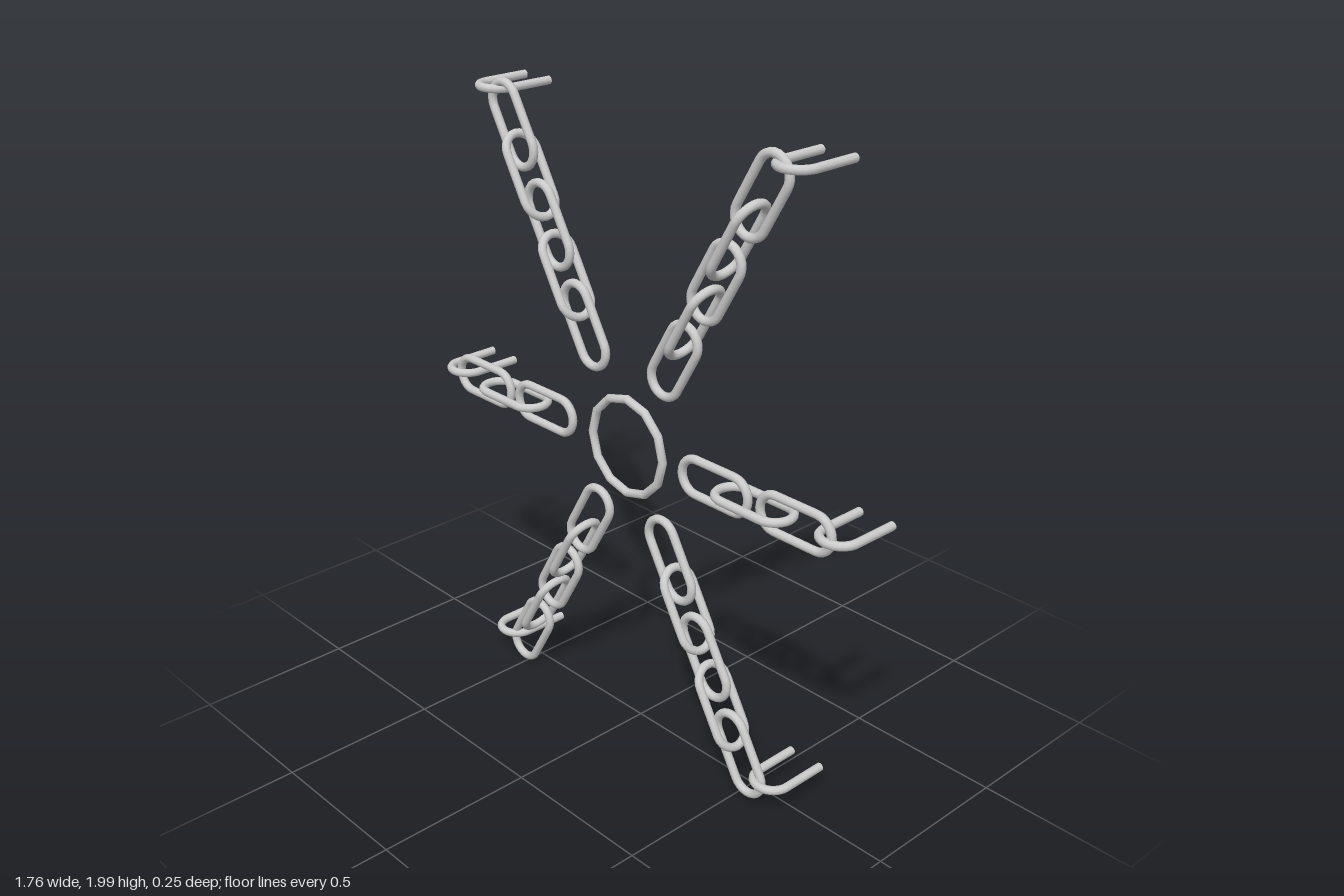
import * as THREE from 'three';

const WIRE = 0.0135;      // wire radius
const BEND = 0.0555;      // bend radius of a link
const HALF = 0.075;       // half the straight part of a link
const PLANE = 0.058;      // z of the chains

// Closed stadium lying along x
class LinkCurve extends THREE.Curve {
  getPoint(t, target = new THREE.Vector3()) {
    const arc = Math.PI * BEND, straight = 2 * HALF;
    let d = (t % 1) * 2 * (arc + straight);
    const side = d < arc + straight ? 1 : -1;
    if (side < 0) d -= arc + straight;
    if (d < straight) return target.set(side * (d - HALF), -side * BEND, 0);
    const a = (d - straight) / BEND - Math.PI / 2;
    return target.set(side * (HALF + BEND * Math.cos(a)), side * BEND * Math.sin(a), 0);
  }
}

// U-shaped staple opening toward -z
const HOOK_R = 0.057, HOOK_Z = 0.025, HOOK_END = -0.124;
class HookCurve extends THREE.Curve {
  getPoint(t, target = new THREE.Vector3()) {
    const leg = HOOK_Z - HOOK_END, arc = Math.PI * HOOK_R;
    const d = t * (2 * leg + arc);
    if (d < leg) return target.set(-HOOK_R, 0, HOOK_END + d);
    if (d > leg + arc) return target.set(HOOK_R, 0, HOOK_Z - (d - leg - arc));
    const a = Math.PI - (d - leg) / HOOK_R;
    return target.set(HOOK_R * Math.cos(a), 0, HOOK_Z + HOOK_R * Math.sin(a));
  }
}

export function createModel() {
  const model = new THREE.Group();
  model.name = 'chainStar';
  const metal = new THREE.MeshStandardMaterial({ color: 0xcccccc });
  const linkGeo = new THREE.TubeGeometry(new LinkCurve(), 44, WIRE, 10, true);
  const hookGeo = new THREE.TubeGeometry(new HookCurve(), 36, WIRE, 10, false);
  const capGeo = new THREE.CircleGeometry(WIRE, 10);

  const add = (parent, geo, name, x, y, z) => {
    const mesh = new THREE.Mesh(geo, metal);
    mesh.name = name;
    mesh.position.set(x, y, z);
    parent.add(mesh);
    return mesh;
  };

  // Central ring
  add(model, new THREE.TorusGeometry(0.153, WIRE, 10, 12), 'centreRing', 0.007, 0.989, 0.063);

  // Chains: first link centre, last link centre, link count, hook position, angle
  const chains = [
    ['leftChain', [0.367, 0.988], [0.674, 0.988], 3, [0.805, 0.988], 0],
    ['rightChain', [-0.375, 0.988], [-0.676, 0.988], 3, [-0.812, 0.988], 0],
    ['upperLeftChain', [0.199, 1.319], [0.513, 1.866], 5, [0.605, 1.962], 60],
    ['upperRightChain', [-0.183, 1.32], [-0.492, 1.866], 5, [-0.597, 1.962], -60],
    ['lowerLeftChain', [0.19, 0.676], [0.494, 0.14], 5, [0.6, 0.088], -60],
    ['lowerRightChain', [-0.171, 0.676], [-0.475, 0.14], 5, [-0.597, 0.088], 60],
  ];
  for (const [name, a, b, count, hookAt, degrees] of chains) {
    const chain = new THREE.Group();
    chain.name = name;
    model.add(chain);

    // Links, every second one turned a quarter about its length
    for (let i = 0; i < count; i++) {
      const t = i / (count - 1);
      const link = add(chain, linkGeo, 'link',
        THREE.MathUtils.lerp(a[0], b[0], t), THREE.MathUtils.lerp(a[1], b[1], t), PLANE);
      link.rotation.set((i % 2) * Math.PI / 2, 0, THREE.MathUtils.degToRad(degrees), 'ZYX');
    }

    // Wall hook with capped ends
    const hook = new THREE.Group();
    hook.name = 'hook';
    hook.position.set(hookAt[0], hookAt[1], 0);
    add(hook, hookGeo, 'hookWire', 0, 0, 0);
    for (const s of [-1, 1]) {
      add(hook, capGeo, 'hookEnd', s * HOOK_R, 0, HOOK_END).rotation.y = Math.PI;
    }
    chain.add(hook);
  }
  return model;
}
